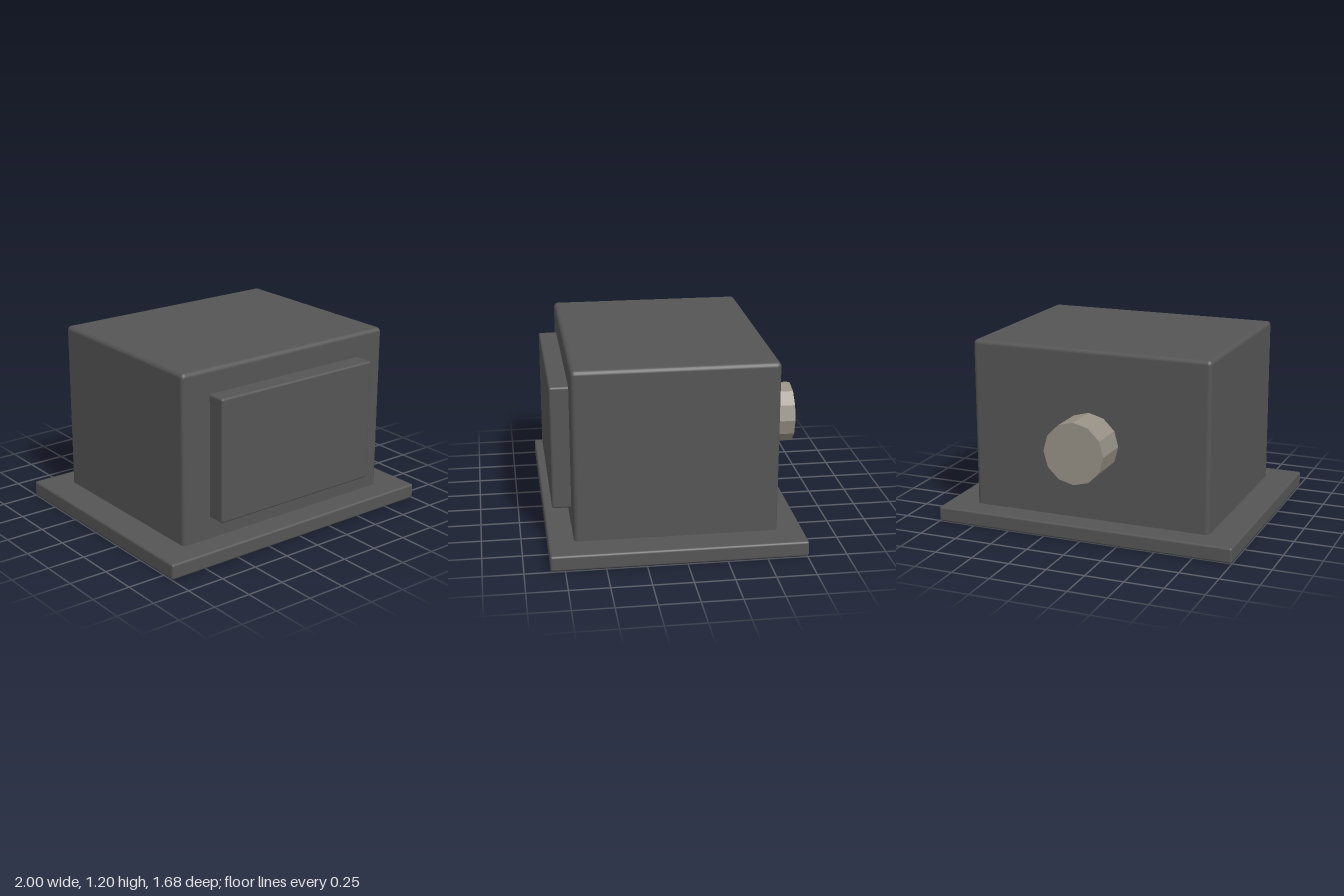
import * as THREE from 'three';
import { RoundedBoxGeometry } from 'three/addons/geometries/RoundedBoxGeometry.js';

export function createModel() {
  const group = new THREE.Group();
  const darkGrey = new THREE.MeshStandardMaterial({ color: 0x555555 });
  darkGrey.name = 'darkGrey';
  const warmGrey = new THREE.MeshStandardMaterial({ color: 0x969085, flatShading: true });
  warmGrey.name = 'warmGrey';

  // Softly bevelled box given by its min and max corners
  const box = (name, min, max, bevel) => {
    const size = max.map((v, i) => v - min[i]);
    const mesh = new THREE.Mesh(new RoundedBoxGeometry(...size, 2, bevel), darkGrey);
    mesh.position.set(...max.map((v, i) => (v + min[i]) / 2));
    mesh.name = name;
    group.add(mesh);
  };

  box('basePlate', [-1, 0, -0.76], [1, 0.1, 0.84], 0.014);
  box('body', [-0.8, 0.04, -0.6], [0.8, 1.2, 0.68], 0.028);
  box('frontPanel', [-0.6, 0.24, 0.64], [0.6, 1.04, 0.8], 0.014);

  // Twelve-sided stub pipe on the back
  const pipe = new THREE.Mesh(new THREE.CylinderGeometry(0.2, 0.2, 0.28, 12), warmGrey);
  pipe.rotation.x = Math.PI / 2;
  pipe.position.set(0, 0.6, -0.7);
  pipe.name = 'backPipe';
  group.add(pipe);

  return group;
}
